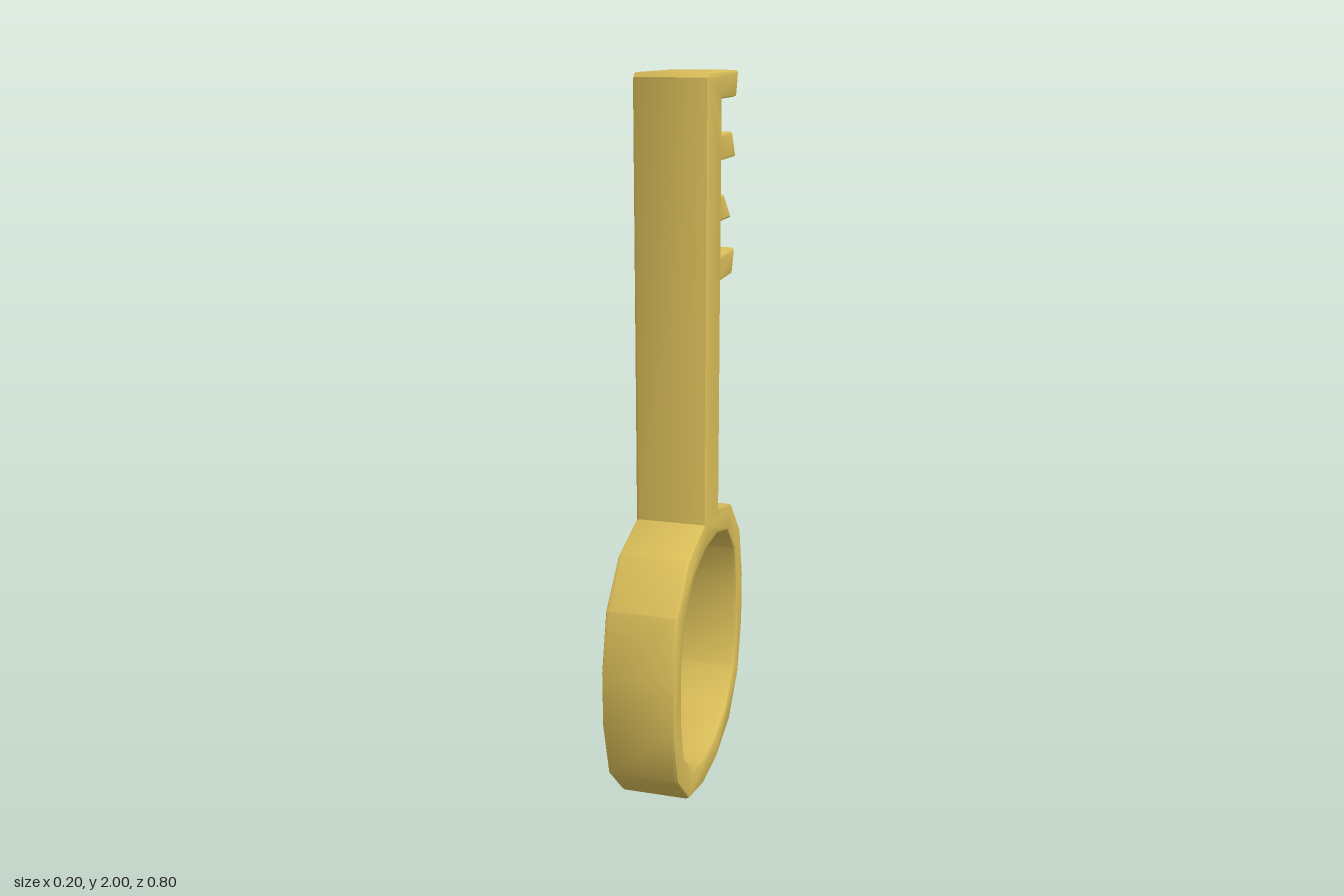
import * as THREE from 'three';
import { toCreasedNormals } from 'three/addons/utils/BufferGeometryUtils.js';

const HALF_WIDTH = 0.1;
const BEVEL = 0.01;
const RING_Y = 0.4;

// One quadrant of each ring outline, from the top round to the side
const OUTER = [[0.077, 0.4], [0.24, 0.356], [0.355, 0.24], [0.398, 0.078]];
const INNER = [[0.066, 0.325], [0.195, 0.289], [0.29, 0.197], [0.322, 0.07]];

// Teeth: top y, bottom y, reach at the top, reach at the bottom
const TEETH = [
  [1.52, 1.45, 0.235, 0.21],
  [1.68, 1.61, 0.113, 0.188],
  [1.84, 1.77, 0.198, 0.237],
  [2.0, 1.93, 0.26, 0.24],
];

// Mirrors a quadrant into a closed loop, running from top left down and round to top right
function ringLoop(quadrant) {
  const left = quadrant.map(([s, y]) => [-s, y]);
  const lower = [...left].reverse().map(([s, y]) => [s, -y]);
  const leftSide = [...left, ...lower];
  const rightSide = [...leftSide].reverse().map(([s, y]) => [-s, y]);
  return [...leftSide, ...rightSide].map(([s, y]) => new THREE.Vector2(s, y + RING_Y));
}

export function createModel() {
  // Silhouette: ring, toothed edge of the shaft, then back down the plain edge
  const outline = ringLoop(OUTER);
  const edge = 0.075;
  for (const [top, bottom, topReach, bottomReach] of TEETH) {
    outline.push(
      new THREE.Vector2(edge, bottom),
      new THREE.Vector2(bottomReach, bottom),
      new THREE.Vector2(topReach, top),
    );
    if (top < 2) outline.push(new THREE.Vector2(edge, top));
  }
  outline.push(new THREE.Vector2(-0.065, 2), new THREE.Vector2(-0.077, 1.988));

  const shape = new THREE.Shape(outline);
  shape.holes.push(new THREE.Path(ringLoop(INNER)));

  const geometry = new THREE.ExtrudeGeometry(shape, {
    depth: 2 * (HALF_WIDTH - BEVEL),
    bevelEnabled: true,
    bevelThickness: BEVEL,
    bevelSize: BEVEL,
    bevelOffset: -BEVEL,
    bevelSegments: 2,
  });
  geometry.translate(0, 0, BEVEL - HALF_WIDTH);
  geometry.rotateY(Math.PI / 2); // teeth point to the back

  // Smooth around the ring, sharp at the shaft and teeth
  const key = new THREE.Mesh(
    toCreasedNormals(geometry, 0.6),
    new THREE.MeshStandardMaterial({ color: 0xd8bc58 }),
  );
  key.name = 'keyBody';

  const model = new THREE.Group();
  model.name = 'key';
  model.add(key);
  return model;
}
